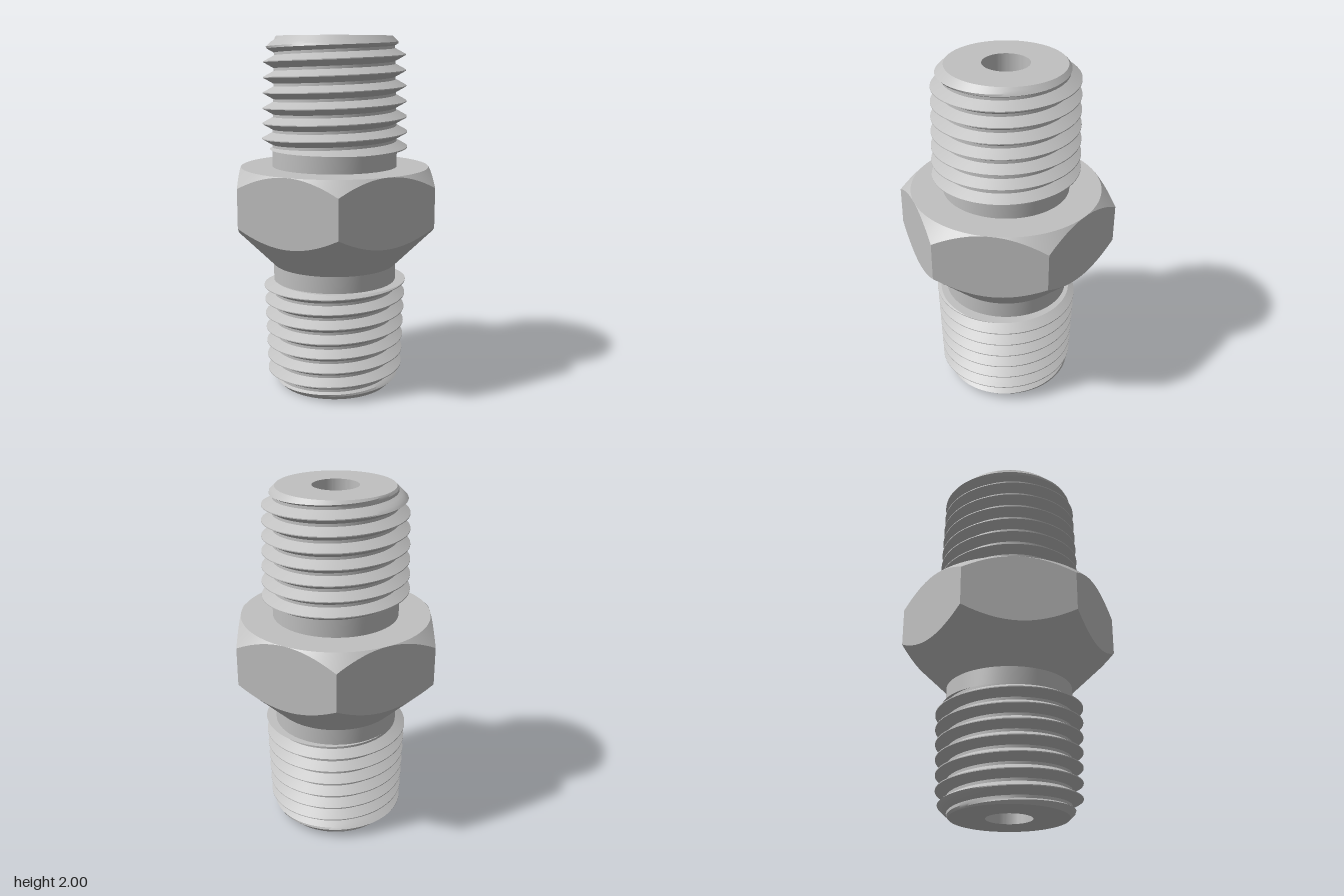
import * as THREE from 'three';
import { toCreasedNormals } from 'three/addons/utils/BufferGeometryUtils.js';

const COLS = 96, TAU = Math.PI * 2;
const BORE = 0.127, NECK = 0.352, TIP = 0.322, PITCH = 0.0845;

const steel = new THREE.MeshStandardMaterial({ color: 0xc0c0c0 });
steel.name = 'steel';

// Surface around the y axis: at(row, angle) gives [radius, y]; rows run counter-clockwise round the section
function surface(name, rows, at) {
  const pos = [], index = [];
  for (let i = 0; i < rows; i++) {
    for (let j = 0; j <= COLS; j++) {
      const t = (j / COLS) * TAU;
      const [r, y] = at(i, t);
      pos.push(r * Math.cos(t), y, -r * Math.sin(t));
    }
  }
  const v = (k) => new THREE.Vector3().fromArray(pos, k * 3);
  const add = (a, b, c) => {
    const area = v(b).sub(v(a)).cross(v(c).sub(v(a))).length();
    if (area > 1e-9) index.push(a, b, c);
  };
  for (let i = 0; i < rows - 1; i++) {
    for (let j = 0; j < COLS; j++) {
      const a = i * (COLS + 1) + j, d = a + COLS + 1;
      add(a, a + 1, d + 1);
      add(a, d + 1, d);
    }
  }
  const geo = new THREE.BufferGeometry();
  geo.setAttribute('position', new THREE.Float32BufferAttribute(pos, 3));
  geo.setIndex(index);
  const mesh = new THREE.Mesh(toCreasedNormals(geo, 0.5), steel);
  mesh.name = name;
  return mesh;
}

// Plain turned surface through [radius, y] points
const turned = (name, pts) => surface(name, pts.length, (i) => pts[i]);

// Tapered right-hand thread from the neck to a chamfered tip; crestY is a crest height at +x
function threadedEnd(name, neckY, tipY, crestY) {
  const group = new THREE.Group();
  group.name = name;
  const low = Math.min(neckY, tipY), high = Math.max(neckY, tipY);

  const radius = (t, y) => {
    const turn = (y - crestY) / PITCH - t / TAU;
    const d = Math.abs(turn - Math.round(turn));          // 0 at crest, 0.5 at root
    const k = THREE.MathUtils.clamp((d - 0.03) / 0.38, 0, 1);
    const crest = 0.41 - Math.abs(y - neckY) / 32;
    return Math.min(crest - 0.058 * k, TIP + Math.abs(tipY - y));
  };

  // Rows follow the helix so crests and roots stay crisp
  const steps = [-0.41, -0.29, -0.16, -0.03, 0.03, 0.16, 0.29, 0.41];
  const first = Math.floor((low - crestY) / PITCH) - 2;
  const turns = Math.ceil((high - low) / PITCH) + 4;
  group.add(surface('thread', turns * steps.length, (i, t) => {
    const turn = first + Math.floor(i / steps.length) + steps[i % steps.length] + t / TAU;
    const y = THREE.MathUtils.clamp(crestY + turn * PITCH, low, high);
    return [radius(t, y), y];
  }));

  // Flat shoulder where the thread meets the neck, and flat end face round the bore
  const up = tipY > neckY;
  group.add(surface('threadShoulder', 2, (i, t) =>
    [(i === 0) === up ? NECK - 0.01 : radius(t, neckY), neckY]));
  group.add(turned('endFace', up ? [[TIP, tipY], [BORE, tipY]] : [[BORE, tipY], [TIP, tipY]]));
  return group;
}

// Hexagonal nut section with corners cut by a cone above and below
function hexBody() {
  const flat = 0.53;
  return surface('hexBody', 5, (i, t) => {
    const a = (t % (Math.PI / 3)) - Math.PI / 6;
    const r = flat / Math.cos(a);
    return [
      [NECK, 0.72],
      [r, 0.72 + r - NECK],
      [r, 1.28 - (r - flat)],
      [flat, 1.28],
      [NECK, 1.28],
    ][i];
  });
}

export function createModel() {
  const model = new THREE.Group();
  model.name = 'pipeNipple';
  model.add(
    threadedEnd('lowerThreadedEnd', 0.625, 0, 0.62),
    turned('lowerNeck', [[NECK, 0.625], [NECK, 0.72]]),
    hexBody(),
    turned('upperNeck', [[NECK, 1.28], [NECK, 1.38]]),
    threadedEnd('upperThreadedEnd', 1.38, 2, 1.387),
    turned('bore', [[BORE, 2], [BORE, 0]]),
  );
  return model;
}
